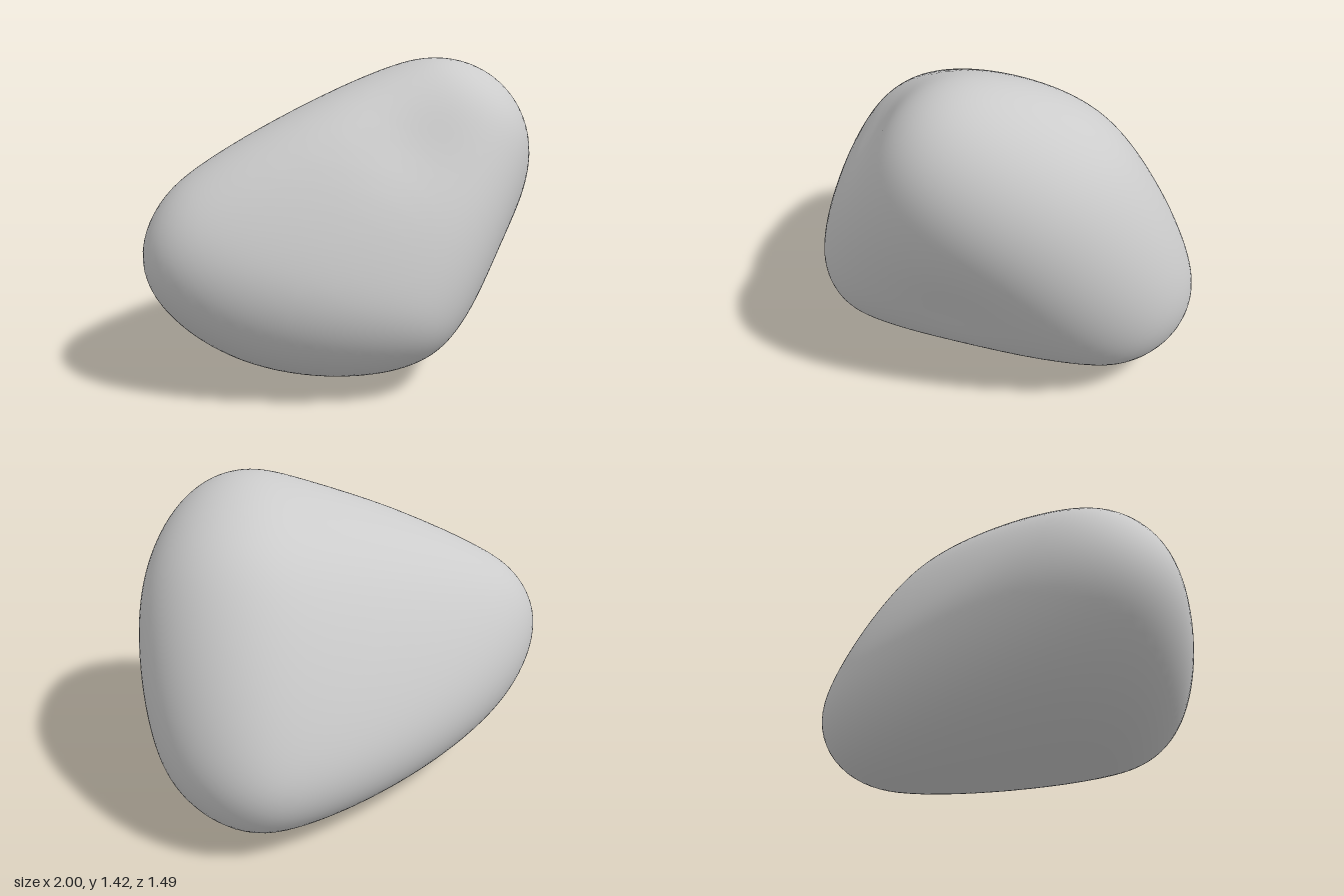
import * as THREE from 'three';
import { mergeVertices } from 'three/addons/utils/BufferGeometryUtils.js';

const CENTRE = new THREE.Vector3(0.1, 0.62, 0);
const SHARPNESS = 22; // lower values swell the flats between lobes

// The lobes of the boulder as balls: x, y, z, radius
const LOBES = [
  [-0.72, 0.58, -0.12, 0.275], // left tip
  [-0.55, 0.68, -0.11, 0.32], // left shoulder
  [-0.5, 0.43, 0.05, 0.32], // left belly
  [-0.45, 0.45, -0.24, 0.3], // left back
  [0.31, 1.0, 0.27, 0.4], // crown
  [0.44, 0.82, 0, 0.49], // upper flank
  [0.63, 0.42, -0.25, 0.36], // lower flank
  [0.6, 0.34, -0.45, 0.28], // back corner
  [0.05, 0.38, -0.4, 0.28], // back face
  [-0.1, 0.42, 0.41, 0.32], // front lobe
  [-0.2, 0.42, 0.12, 0.4], // underside
].map(([x, y, z, r]) => ({ at: new THREE.Vector3(x, y, z).sub(CENTRE), r }));

// Shallow hollows: direction from the centre, depth as a share of the radius, width
const HOLLOWS = [
  { dir: new THREE.Vector3(0.4, -0.2, 0.45).normalize(), depth: 0.06, width: 0.42 },
  { dir: new THREE.Vector3(-0.14, 0.5, 0.5).normalize(), depth: 0.06, width: 0.36 },
];

// How far the lobes reach along a normal, blended softly between lobes
function support(n) {
  let sum = 0;
  for (const l of LOBES) sum += Math.exp(SHARPNESS * (n.dot(l.at) + l.r));
  return Math.log(sum) / SHARPNESS;
}

// Tangent planes of a skin stretched over all lobes, each normal divided by its distance
function tangentPlanes(count) {
  const planes = [];
  for (let i = 0; i < count; i++) {
    const y = 1 - (2 * i + 1) / count;
    const n = new THREE.Vector3().setFromCylindricalCoords(Math.sqrt(1 - y * y), i * 2.399963, y);
    planes.push(n.divideScalar(support(n)));
  }
  return planes;
}

// Distance from the centre to the surface along a direction
function reach(dir, planes) {
  let nearest = 0;
  for (const p of planes) nearest = Math.max(nearest, p.dot(dir));
  let r = 1 / nearest;
  for (const h of HOLLOWS) r *= 1 - h.depth * Math.exp(-((dir.angleTo(h.dir) / h.width) ** 2));
  return r;
}

export function createModel() {
  const group = new THREE.Group();
  group.name = 'rock';

  // Even sphere pushed out to the skin
  let geo = new THREE.IcosahedronGeometry(1, 26);
  geo.deleteAttribute('normal');
  geo.deleteAttribute('uv');
  geo = mergeVertices(geo, 1e-4);
  const planes = tangentPlanes(18000);
  const pos = geo.attributes.position;
  const v = new THREE.Vector3();
  for (let i = 0; i < pos.count; i++) {
    v.fromBufferAttribute(pos, i).normalize();
    v.multiplyScalar(reach(v, planes)).add(CENTRE);
    pos.setXYZ(i, v.x, v.y, v.z);
  }
  geo.computeVertexNormals();

  const boulder = new THREE.Mesh(geo, new THREE.MeshStandardMaterial({ color: 0xcccccc }));
  boulder.name = 'boulder';
  group.add(boulder);
  return group;
}
